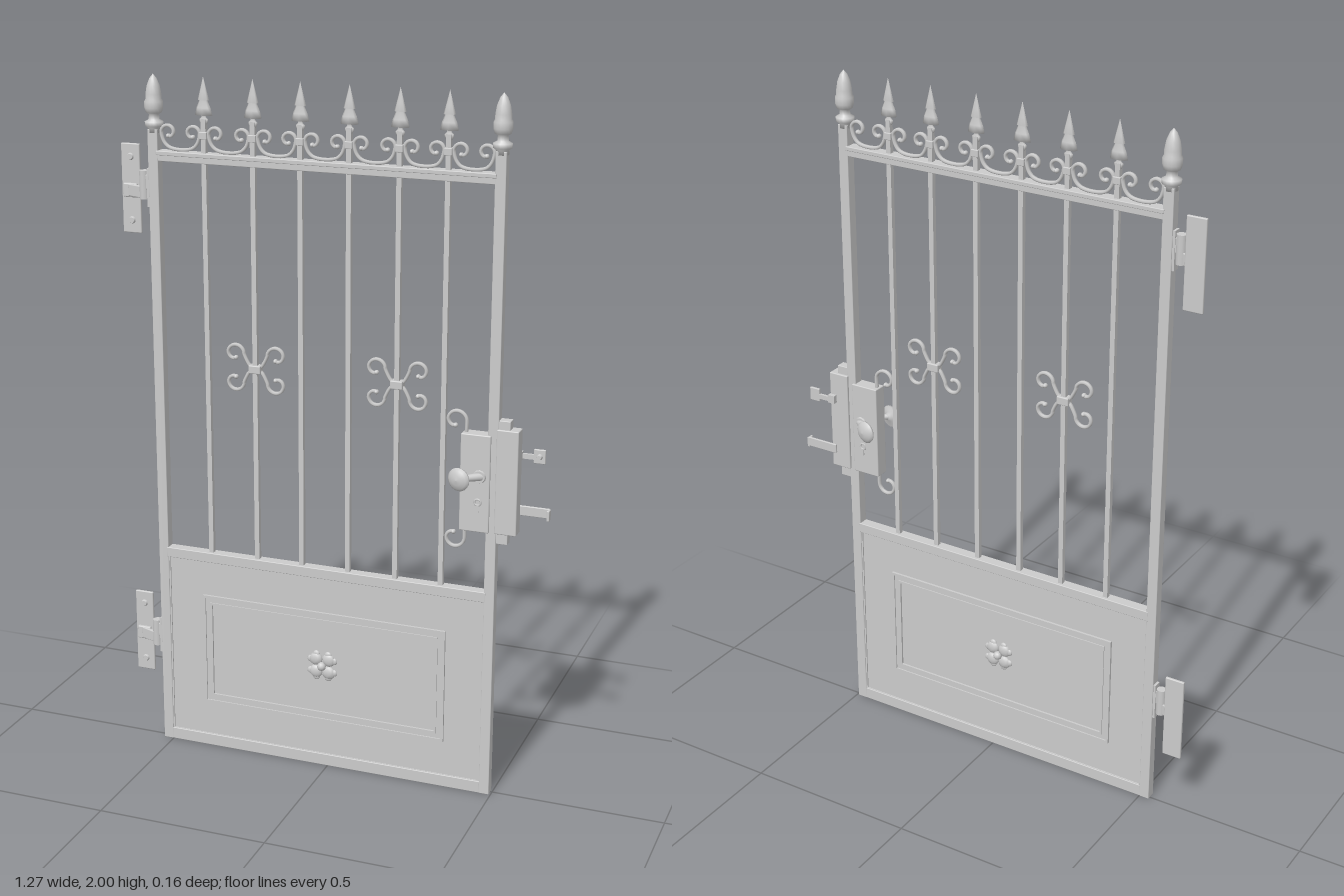
import * as THREE from 'three';
import { RoundedBoxGeometry } from 'three/addons/geometries/RoundedBoxGeometry.js';

const mat = new THREE.MeshStandardMaterial({ color: 0xcccccc });
const Z = 0.005; // centre plane of the gate
const LEFT = -0.515, RIGHT = 0.48, MID = (LEFT + RIGHT) / 2;
const BARS = [-0.365, -0.22, -0.082, 0.058, 0.2, 0.335];

export function createModel() {
  const root = new THREE.Group();

  const add = (name, geo, x = 0, y = 0, z = 0, parent = root) => {
    const m = new THREE.Mesh(geo, mat);
    m.name = name;
    m.position.set(x, y, z);
    parent.add(m);
    return m;
  };
  // box given by its limits
  const box = (name, x0, x1, y0, y1, z0, z1, r = 0) => {
    const s = [x1 - x0, y1 - y0, z1 - z0];
    const geo = r ? new RoundedBoxGeometry(...s, 2, r) : new THREE.BoxGeometry(...s);
    return add(name, geo, (x0 + x1) / 2, (y0 + y1) / 2, (z0 + z1) / 2);
  };
  const lathe = (pts, seg = 16) =>
    new THREE.LatheGeometry(pts.map(([r, y]) => new THREE.Vector2(r, y)), seg);
  // spiral that tightens from radius r
  const curl = (cx, cy, r, a0, turn, n = 14) =>
    Array.from({ length: n + 1 }, (_, i) => {
      const t = i / n, a = a0 + turn * t, q = r * (1 - 0.55 * t * t);
      return [cx + q * Math.cos(a), cy + q * Math.sin(a)];
    });
  // wrought strip along a 2D path, with a small ball on each curled end
  const strip = (name, pts, balls, r = 0.0052) => {
    const g = new THREE.Group();
    g.name = name;
    const v = pts.map(([x, y]) => new THREE.Vector3(x, y, 0));
    add('scrollStrip', new THREE.TubeGeometry(new THREE.CatmullRomCurve3(v), 72, r, 6), 0, 0, 0, g);
    balls.forEach((i) => {
      const p = v.at(i);
      add('scrollEnd', new THREE.SphereGeometry(r * 1.3, 8, 6), p.x, p.y, 0, g);
    });
    g.position.z = Z;
    g.scale.z = 1.3;
    root.add(g);
    return g;
  };
  // rod between two points
  const rod = (name, a, b, r0, r1) => {
    const A = new THREE.Vector3(...a), d = new THREE.Vector3(...b).sub(A);
    const m = add(name, new THREE.CylinderGeometry(r1, r0, d.length(), 12));
    m.position.copy(A).addScaledVector(d, 0.5);
    m.quaternion.setFromUnitVectors(new THREE.Vector3(0, 1, 0), d.normalize());
    return m;
  };

  // posts with acorn finials
  const acorn = lathe([[0, 0], [0.017, 0], [0.017, 0.012], [0.025, 0.018], [0.026, 0.03], [0.015, 0.036],
    [0.014, 0.05], [0.022, 0.055], [0.026, 0.068], [0.026, 0.085], [0.022, 0.092], [0.022, 0.105],
    [0.018, 0.128], [0.01, 0.148], [0, 0.16]]);
  for (const x of [LEFT, RIGHT]) {
    box('post', x - 0.015, x + 0.015, 0, 1.85, Z - 0.015, Z + 0.015, 0.002);
    add('postFinial', acorn, x, 1.84, Z);
  }

  // rails
  const rail = (name, y0, y1, d) => box(name, LEFT + 0.01, RIGHT - 0.01, y0, y1, Z - d, Z + d, 0.002);
  rail('topRail', 1.763, 1.782, 0.014);
  rail('topRailCap', 1.78, 1.792, 0.018);
  rail('middleRail', 0.592, 0.622, 0.016);
  rail('bottomRail', 0, 0.036, 0.014);

  // bars with spear heads
  const spear = lathe([[0, 0], [0.008, 0], [0.013, 0.008], [0.013, 0.014], [0.007, 0.02], [0.007, 0.034],
    [0.026, 0.025], [0.021, 0.045], [0.012, 0.066], [0.017, 0.066], [0.011, 0.088], [0, 0.13]], 8);
  spear.scale(1, 1, 0.45);
  for (const x of BARS) {
    box('bar', x - 0.007, x + 0.007, 0.61, 1.885, Z - 0.007, Z + 0.007);
    add('spearHead', spear, x, 1.87, Z);
    box('barCollar', x - 0.011, x + 0.011, 1.83, 1.85, Z - 0.011, Z + 0.011, 0.002);
  }

  // swags of scrollwork above the top rail
  const stops = [LEFT + 0.008, ...BARS, RIGHT - 0.008];
  for (let i = 0; i < stops.length - 1; i++) {
    const m = (stops[i] + stops[i + 1]) / 2, w = (stops[i + 1] - stops[i]) / 2;
    const half = [[w * 0.5, 1.802], [w - 0.02, 1.817], ...curl(w - 0.034, 1.842, 0.021, 0, Math.PI * 1.5)];
    const pts = [...half.map(([x, y]) => [-x, y]).reverse(), [0, 1.796], ...half];
    strip('topScroll', pts, [0, -1]).position.x = m;
  }

  // back-to-back C scrolls on two bars
  for (const x of [BARS[1], BARS[4]]) {
    for (const s of [1, -1]) {
      const up = [[0.022, 0.014], ...curl(0.062, 0.04, 0.027, Math.PI, -Math.PI * 1.55)];
      const pts = [...up.map(([a, b]) => [a, -b]).reverse(), [0.011, 0], ...up].map(([a, b]) => [a * s, b]);
      strip('middleScroll', pts, [0, -1]).position.set(x, 1.192, Z);
    }
    box('scrollCollar', x - 0.018, x + 0.018, 1.18, 1.204, Z - 0.013, Z + 0.013, 0.003);
  }

  // lower panel with raised mouldings on both sides
  box('panel', LEFT, RIGHT, 0.02, 0.6, Z - 0.008, Z + 0.008);
  const frame = (name, x0, x1, y0, y1, w, d) => {
    const rect = (P, a, b, c, e) => {
      const p = new P();
      p.moveTo(a, c); p.lineTo(b, c); p.lineTo(b, e); p.lineTo(a, e); p.closePath();
      return p;
    };
    const s = rect(THREE.Shape, x0, x1, y0, y1);
    s.holes.push(rect(THREE.Path, x0 + w, x1 - w, y0 + w, y1 - w));
    add(name, new THREE.ExtrudeGeometry(s, { depth: 2 * d, bevelEnabled: false }), 0, 0, Z - d);
  };
  frame('panelEdge', LEFT + 0.012, RIGHT - 0.012, 0.03, 0.597, 0.007, 0.012);
  frame('panelMouldingOuter', -0.392, 0.355, 0.142, 0.486, 0.008, 0.015);
  frame('panelMoulding', -0.385, 0.348, 0.149, 0.479, 0.016, 0.011);
  frame('panelMouldingInner', -0.37, 0.333, 0.164, 0.464, 0.007, 0.014);

  // rosettes
  for (const s of [1, -1]) {
    const g = new THREE.Group();
    g.name = 'rosette';
    g.position.set(MID, 0.318, Z + s * 0.009);
    root.add(g);
    for (let i = 0; i < 4; i++) {
      const leaf = new THREE.Group();
      leaf.name = 'rosetteLeaf';
      leaf.rotation.z = Math.PI / 4 + i * Math.PI / 2;
      g.add(leaf);
      for (const [x, y, r] of [[0.028, 0, 0.02], [0.038, 0.012, 0.011], [0.038, -0.012, 0.011]])
        add('leafLobe', new THREE.SphereGeometry(r, 10, 8), x, y, 0, leaf).scale.z = 0.5;
    }
    add('rosetteCentre', new THREE.SphereGeometry(0.013, 12, 8), 0, 0, s * 0.006, g);
  }

  // lock case, edge plate and outer case
  box('lockCase', 0.39, 0.475, 0.8, 1.08, Z - 0.021, Z + 0.021, 0.003);
  box('lockEdgePlate', 0.493, 0.527, 0.77, 1.125, Z - 0.015, Z + 0.013, 0.002);
  box('outerLockCase', 0.49, 0.552, 0.8, 1.1, Z - 0.022, Z + 0.018, 0.003);

  // curled brackets above and below the lock
  for (const s of [1, -1]) {
    const pts = [[0.397, -0.05], [0.4, -0.005], ...curl(0.371, 0.028, 0.03, 0, Math.PI * 1.45)];
    strip('lockScroll', pts.map(([x, y]) => [x, 0.94 + s * (0.14 + y)]), [-1]);
  }

  // knobs, cranked stems and keyholes on both sides
  const knob = lathe([[0, -0.012], [0.01, -0.012], [0.014, -0.004], [0.032, -0.003], [0.033, 0.002],
    [0.026, 0.008], [0.014, 0.013], [0, 0.015]], 20);
  for (const s of [1, -1]) {
    const k = add('knob', knob, 0.4, 0.962, Z + s * 0.063);
    k.rotation.set(s * Math.PI / 2, 0, s * 0.25);
    rod('knobStem', [0.45, 0.962, Z + s * 0.018], [0.402, 0.962, Z + s * 0.058], 0.012, 0.008);
    rod('knobRose', [0.446, 0.962, Z + s * 0.018], [0.446, 0.962, Z + s * 0.026], 0.02, 0.017);
    const ring = add('keyholeRing', new THREE.TorusGeometry(0.009, 0.003, 6, 16), 0.442, 0.887, Z + s * 0.021);
    ring.scale.z = 0.8;
    box('keyholeSlot', 0.438, 0.446, 0.86, 0.88, Z + s * 0.021 - 0.003, Z + s * 0.021 + 0.003);
  }

  // latch and catch reaching to the wall
  box('latchArm', 0.545, 0.595, 1.012, 1.026, -0.03, -0.022);
  box('latchPlate', 0.583, 0.616, 1.002, 1.042, -0.03, -0.022, 0.002);
  rod('latchScrew', [0.6, 1.022, -0.024], [0.6, 1.022, -0.012], 0.009, 0.006);
  box('latchRoot', 0.53, 0.552, 1.008, 1.032, -0.03, 0);
  box('catchArm', 0.53, 0.633, 0.847, 0.875, -0.03, -0.023, 0.002);
  box('catchHook', 0.627, 0.635, 0.843, 0.873, -0.03, -0.01, 0.002);

  // hinges
  for (const [y, pin] of [[1.672, 0.015], [0.321, 0.012]]) {
    box('hingePlate', -0.636, -0.579, y - 0.127, y + 0.127, -0.035, -0.026, 0.003);
    for (const dy of [-0.09, 0.09])
      rod('hingeScrew', [-0.607, y + dy, -0.027], [-0.607, y + dy, -0.02], 0.011, 0.008);
    box('hingeBoss', -0.628, -0.586, y - 0.024, y + 0.016, -0.028, -0.016, 0.004);
    const strap = box('hingeStrap', -0.613, -0.545, y - 0.02, y + 0.014, -0.014, -0.003, 0.003);
    strap.rotation.y = -0.36;
    rod('hingeBarrel', [-0.551, y - 0.035 + pin, 0.003], [-0.551, y + 0.045 + pin, 0.003], 0.014, 0.014);
    box('hingeLug', -0.555, -0.525, y + 0.008, y + 0.05, -0.005, 0.013, 0.003);
    box('hingeFlange', -0.537, -0.528, y - 0.04, y + 0.068, Z - 0.012, Z + 0.012);
  }

  return root;
}
